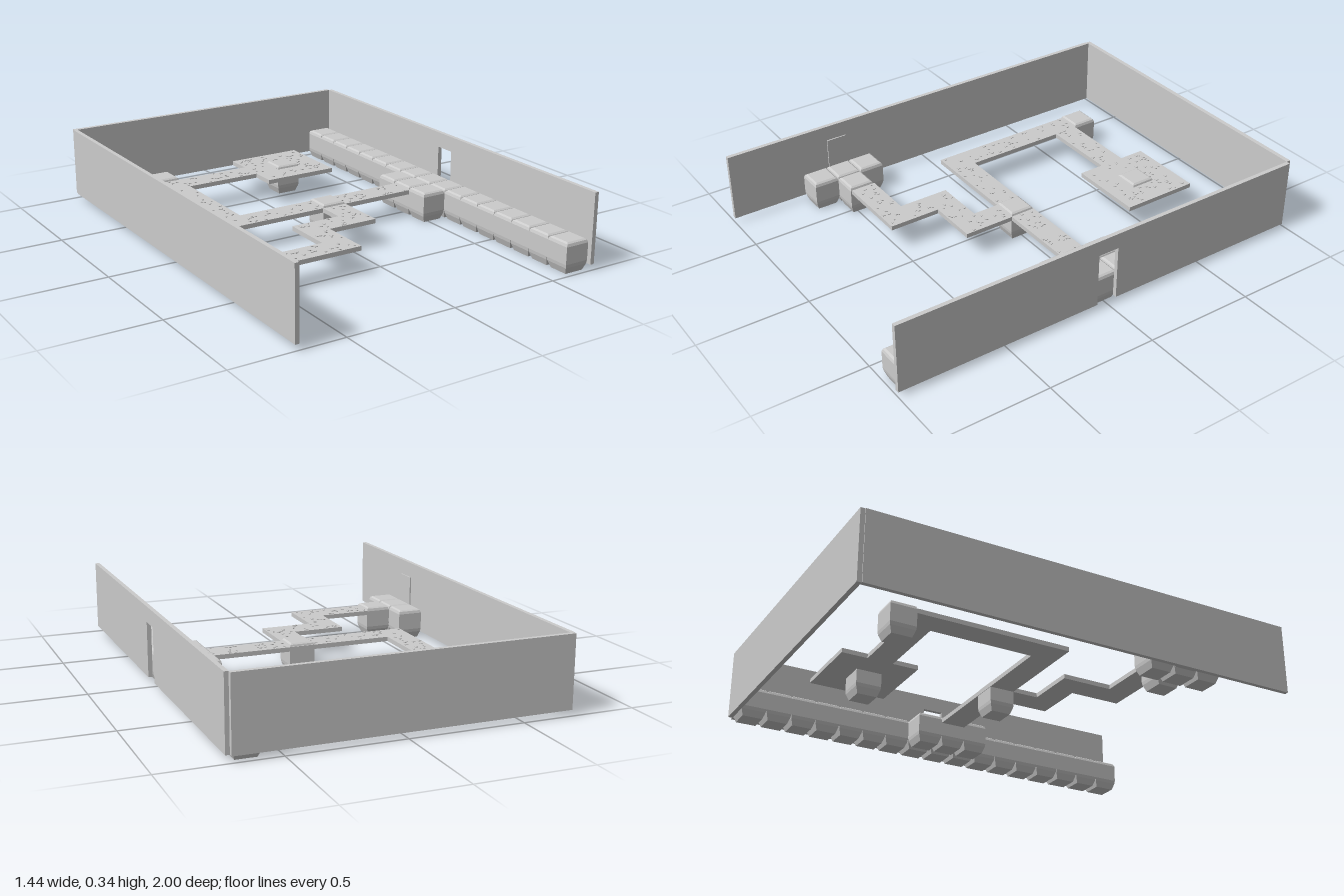
import * as THREE from 'three';
import { mergeGeometries } from 'three/addons/utils/BufferGeometryUtils.js';

const material = new THREE.MeshStandardMaterial({ color: 0xcccccc, flatShading: true });
const PITCH = 0.1157;

function box(x0, x1, y0, y1, z0, z1) {
  const g = new THREE.BoxGeometry(x1 - x0, y1 - y0, z1 - z0);
  return g.translate((x0 + x1) / 2, (y0 + y1) / 2, (z0 + z1) / 2);
}

function add(parent, name, geometry) {
  const mesh = new THREE.Mesh(geometry, material);
  mesh.name = name;
  parent.add(mesh);
  return mesh;
}

// Square block: tapered foot, upright sides, chamfered top
function blockGeometry() {
  const h = PITCH / 2;
  const profile = [
    [0, 0], [h - 0.013, 0], [h - 0.002, 0.03], [h, 0.045],
    [h, 0.122], [h - 0.004, 0.134], [h - 0.012, 0.1395], [0, 0.1395],
  ].map(([r, y]) => new THREE.Vector2(r * Math.SQRT2, y));
  return new THREE.LatheGeometry(profile, 4, Math.PI / 4).toNonIndexed();
}

export function createModel() {
  const model = new THREE.Group();
  model.name = 'walledCourt';
  let seed = 7;
  const random = () => (seed = (seed * 16807) % 2147483647) / 2147483647;

  // Walls, the one at +x with a doorway open at its foot
  const walls = new THREE.Group();
  walls.name = 'walls';
  model.add(walls);
  add(walls, 'rightWall', box(-0.722, -0.703, 0.026, 0.34, -0.98, 1));
  add(walls, 'backWall', box(-0.718, 0.704, 0.026, 0.34, -1, -0.98));
  const outline = new THREE.Shape([
    [-1, 0.026], [-0.06, 0.026], [-0.06, 0.27], [0.036, 0.27],
    [0.036, 0.026], [0.98, 0.026], [0.98, 0.34], [-1, 0.34],
  ].map(([a, y]) => new THREE.Vector2(a, y)));
  const leftWall = new THREE.ExtrudeGeometry(outline, { depth: 0.019, bevelEnabled: false });
  leftWall.rotateY(Math.PI / 2).translate(0.703, 0, 0);
  add(walls, 'leftWall', leftWall);
  add(walls, 'doorPanel', box(-0.704, -0.697, 0.026, 0.27, 0.425, 0.52));

  // Blocks: a full row along the +x wall, two doorsteps and path corners
  const spots = [
    [0.523, -PITCH], [0.523, 0], [0.523, PITCH],
    [0.057, 0.003], [-0.41, -0.697], [0.175, -0.582],
    [-0.642, 0.36], [-0.642, 0.476], [-0.642, 0.591], [-0.526, 0.476],
  ];
  for (let i = -8; i <= 8; i++) spots.push([0.639, i * PITCH]);
  const blocks = new THREE.Group();
  blocks.name = 'blocks';
  model.add(blocks);
  const block = blockGeometry();
  for (const [x, z] of spots) add(blocks, 'block', block).position.set(x, 0, z + 0.002);

  // Paths as strips: x0, x1, z0, z1
  const strips = [
    [-0.466, 0.468, -0.055, 0.061],
    [-0.466, -0.353, -0.524, -0.055],
    [-0.466, 0, -0.64, -0.524],
    [0, 0.35, -0.757, -0.407],
    [0, 0.116, 0.061, 0.295],
    [-0.233, 0, 0.182, 0.295],
    [-0.233, -0.117, 0.295, 0.415],
    [-0.468, -0.117, 0.415, 0.53],
  ];
  const paths = new THREE.Group();
  paths.name = 'paths';
  model.add(paths);
  for (const [x0, x1, z0, z1] of strips) {
    add(paths, 'pathStrip', box(x0, x1, 0.106, 0.126, z0, z1));
    // Small flat stones standing slightly proud of the path
    const stones = [];
    const count = Math.round((x1 - x0) * (z1 - z0) * 550);
    for (let i = 0; i < count; i++) {
      const s = 0.003 + 0.004 * random();
      const x = x0 + 0.01 + (x1 - x0 - 0.02) * random();
      const z = z0 + 0.01 + (z1 - z0 - 0.02) * random();
      stones.push(box(x - s, x + s, 0.124, 0.129, z - s, z + s));
    }
    add(paths, 'pathStones', mergeGeometries(stones));
  }
  return model;
}
